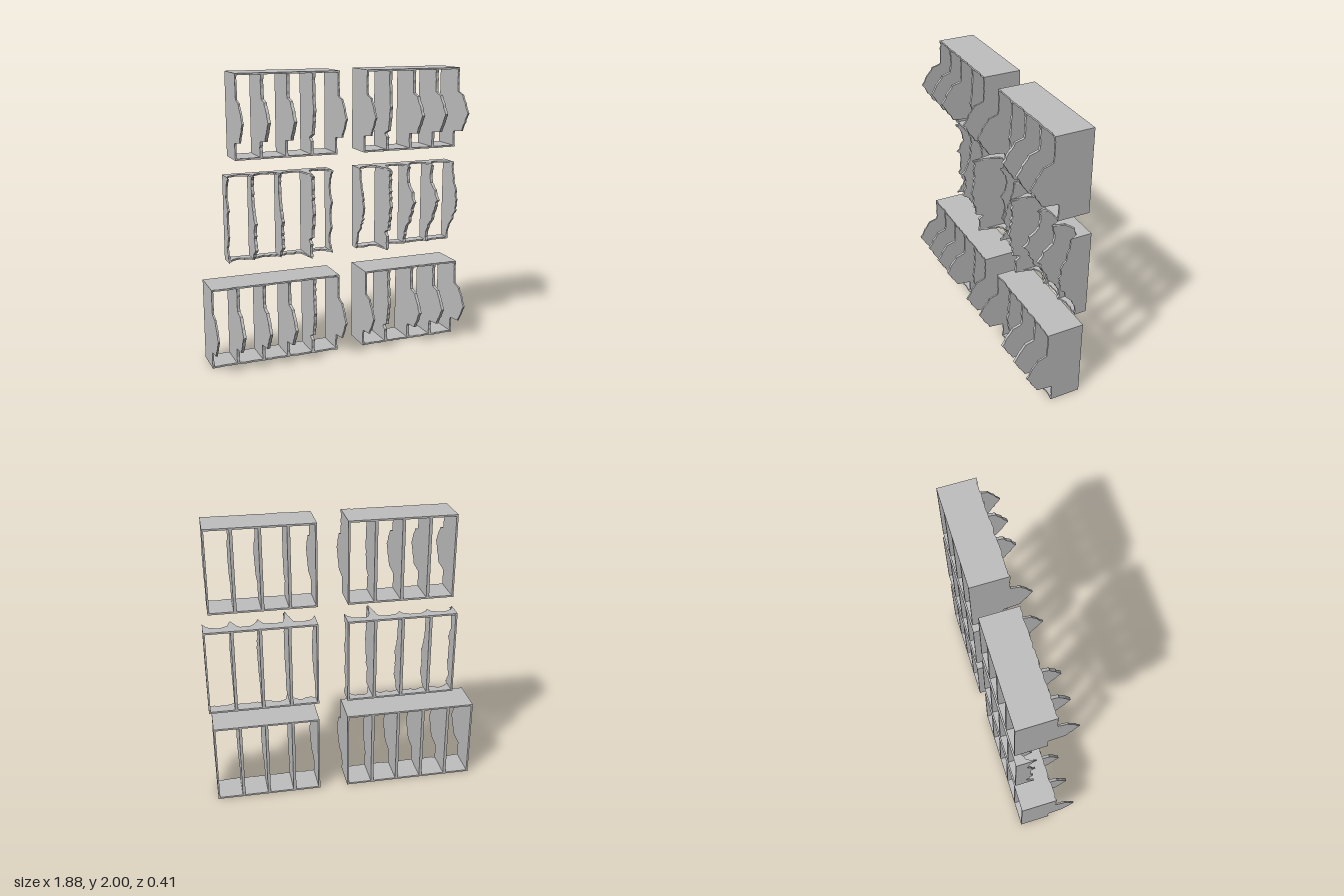
import * as THREE from 'three';

const BACK = -0.205;
const T = 0.012; // plate and end panel thickness

// Front edges as [z, height fraction], bottom to top
const BULGE = [[0.012, 0], [0.012, 0.19], [0.122, 0.215], [0.165, 0.335], [0.203, 0.455], [0.165, 0.575], [0.122, 0.68], [0.058, 0.715], [0.055, 1]];
const SHORT = [[0.015, 0], [0.015, 0.16], [-0.02, 0.2], [0.04, 0.25], [0.06, 0.42], [0.07, 0.55], [0.058, 0.75], [0.055, 1]];
const WORN_A = [[-0.12, 0], [-0.1, 0.15], [-0.04, 0.28], [0, 0.4], [0.012, 0.55], [0, 0.66], [-0.04, 0.82], [-0.06, 1]];
const WORN_B = [[-0.1, 0], [-0.08, 0.18], [-0.02, 0.3], [0.02, 0.45], [0.06, 0.58], [0.02, 0.7], [-0.05, 0.8], [-0.04, 1]];
const THIN_A = [[-0.07, 0], [-0.12, 0.12], [-0.08, 0.3], [-0.1, 0.5], [-0.07, 0.62], [-0.12, 0.8], [-0.065, 1]];
const THIN_B = [[-0.1, 0], [-0.03, 0.13], [-0.05, 0.3], [-0.03, 0.45], [-0.08, 0.6], [-0.1, 0.8], [-0.09, 1]];

const ROWS = [
  { name: 'lower', y0: 0, y1: 0.575 },
  { name: 'middle', y0: 0.705, y1: 1.305 },
  { name: 'upper', y0: 1.43, y1: 2.0 },
];
const full = (xs, short) => xs.map((x, i) => [x, i === short ? SHORT : BULGE]);
const UNITS = [
  { row: 0, side: 'Right', panels: full([-0.934, -0.757, -0.572, -0.39, -0.206, -0.026], 4) },
  { row: 0, side: 'Left', panels: full([0.186, 0.365, 0.55, 0.732, 0.909], 1) },
  { row: 1, side: 'Right', panels: [[-0.772, THIN_A], [-0.594, THIN_B], [-0.4, THIN_B], [-0.21, SHORT], [-0.026, THIN_A]], worn: -0.135 },
  { row: 1, side: 'Left', panels: [[0.186, WORN_A], [0.37, SHORT], [0.562, WORN_B], [0.748, WORN_B], [0.929, WORN_A]], worn: -0.12 },
  { row: 2, side: 'Right', panels: full([-0.734, -0.56, -0.383, -0.203, -0.026], 3) },
  { row: 2, side: 'Left', panels: full([0.186, 0.36, 0.54, 0.718, 0.889], 1) },
];

function seeded(seed) {
  let s = seed;
  return () => (s = (s * 16807) % 2147483647) / 2147483647;
}

// Splits a polyline into small steps and pushes each inner point inwards a little
function roughen(points, step, amount, axis, rand) {
  const out = [];
  for (let i = 0; i < points.length - 1; i++) {
    const [a, b] = [points[i], points[i + 1]];
    const n = Math.max(1, Math.round(Math.hypot(b[0] - a[0], b[1] - a[1]) / step));
    for (let k = 0; k < n; k++) {
      const p = [0, 1].map((c) => a[c] + ((b[c] - a[c]) * k) / n);
      if (k > 0) p[axis] -= amount * rand();
      out.push(p);
    }
  }
  out.push(points[points.length - 1]);
  return out;
}

const toShape = (pts) => new THREE.Shape(pts.map((p) => new THREE.Vector2(p[0], p[1])));
const extrude = (pts, depth) => new THREE.ExtrudeGeometry(toShape(pts), { depth, bevelEnabled: false });

// Upright panel cut to a ragged front edge
function panelGeometry(profile, y0, y1, thick, rough, rand) {
  const edge = roughen(profile.map(([z, f]) => [z, y0 + f * (y1 - y0)]), 0.022, rough, 0, rand);
  const g = extrude([[BACK, y0], ...edge, [BACK, y1]], thick);
  g.rotateY(-Math.PI / 2);
  g.translate(thick / 2, 0, 0);
  return g;
}

// Horizontal plate whose front edge passes through the given [x, z] points
function plateGeometry(front, top, rough, rand) {
  const edge = roughen(front, 0.025, rough, 1, rand);
  const x0 = front[0][0], x1 = front[front.length - 1][0];
  const g = extrude([[x0, BACK], [x1, BACK], ...edge.reverse()], T);
  g.rotateX(Math.PI / 2);
  g.translate(0, top, 0);
  return g;
}

// Front edge of a worn plate: reaches forward where it meets each panel
function wornFront(panels, x0, x1, depth, atTop) {
  const pts = [];
  panels.forEach(([x, profile], i) => {
    const z = atTop ? profile[profile.length - 1][0] : profile[0][0];
    const first = i === 0, last = i === panels.length - 1;
    if (!first) pts.push([x - 0.035, depth]);
    pts.push([first ? x0 : last ? x1 : x, z]);
    if (!last) pts.push([x + 0.035, depth]);
  });
  return pts;
}

export function createModel() {
  const model = new THREE.Group();
  model.name = 'shelfUnits';
  const grey = new THREE.MeshStandardMaterial({ color: 0xbfbfbf });
  grey.name = 'plain grey';
  const rand = seeded(4217);

  for (const { row, side, panels, worn } of UNITS) {
    const { name, y0, y1 } = ROWS[row];
    const unit = new THREE.Group();
    unit.name = `${name}${side}Unit`;
    const add = (geometry, part) => {
      const mesh = new THREE.Mesh(geometry, grey);
      mesh.name = part;
      unit.add(mesh);
      return mesh;
    };

    // End panels and dividers
    panels.forEach(([x, profile], i) => {
      const isEnd = i === 0 || i === panels.length - 1;
      const rough = worn ? 0.018 : 0.008;
      const g = panelGeometry(profile, y0 + T, y1 - T, isEnd ? T : 0.02, rough, rand);
      add(g, isEnd ? 'endPanel' : 'divider').position.x = x;
    });

    // Top and bottom plates
    const x0 = panels[0][0] - T / 2;
    const x1 = panels[panels.length - 1][0] + T / 2;
    for (const atTop of [true, false]) {
      const z = atTop ? 0.055 : 0.014;
      const front = worn ? wornFront(panels, x0, x1, worn, atTop) : [[x0, z], [x1, z]];
      add(plateGeometry(front, atTop ? y1 : y0 + T, worn ? 0.025 : 0.01, rand), atTop ? 'topPlate' : 'bottomPlate');
    }
    model.add(unit);
  }
  return model;
}
